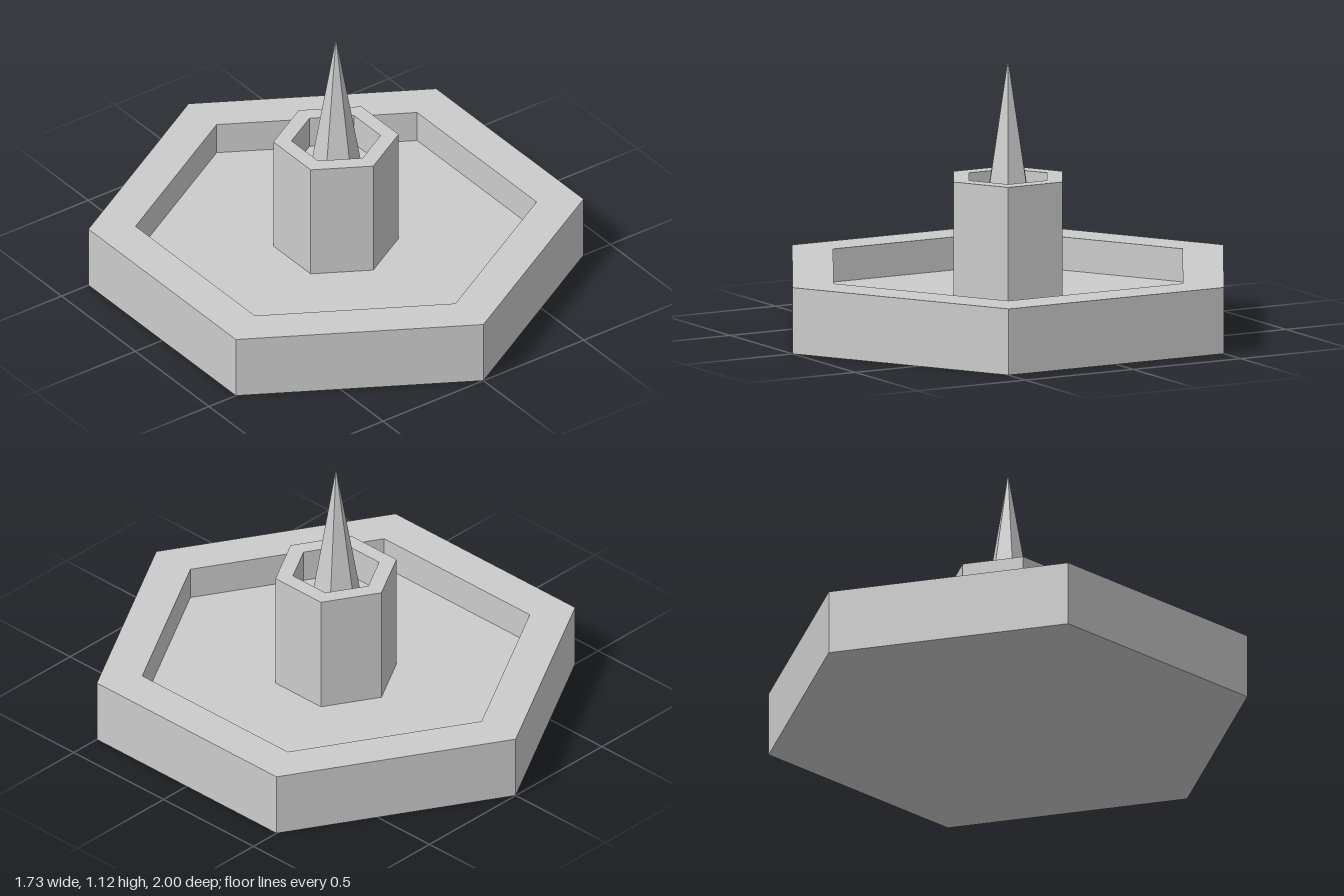
import * as THREE from 'three';

const SIDES = 6;

// Unshared vertices give every facet its own flat normal
function faceted(geometry) {
  const flat = geometry.toNonIndexed();
  flat.computeVertexNormals();
  return flat;
}

// Hexagonal solid of revolution, with a corner facing +z
function hexLathe(profile) {
  const points = profile.map(([r, y]) => new THREE.Vector2(r, y));
  return faceted(new THREE.LatheGeometry(points, SIDES));
}

export function createModel() {
  const group = new THREE.Group();
  group.name = 'fountain';
  const stone = new THREE.MeshStandardMaterial({ color: 0xcccccc });
  stone.name = 'light grey stone';

  const add = (name, geometry, y = 0) => {
    const mesh = new THREE.Mesh(geometry, stone);
    mesh.name = name;
    mesh.position.y = y;
    group.add(mesh);
  };

  const basinFloor = 0.135;
  const bowlFloor = 0.5;
  const tip = 1.115;

  // Wide basin: underside, outer wall, rim, inner wall, floor
  add('basin', hexLathe([[0, 0], [1, 0], [1, 0.27], [0.81, 0.27], [0.81, basinFloor], [0, basinFloor]]));

  // Central pedestal with a hollowed top
  add('pedestal', hexLathe([[0.253, basinFloor], [0.253, 0.635], [0.18, 0.635], [0.18, bowlFloor], [0, bowlFloor]]));

  // Slender spike rising from the pedestal bowl
  add('spike', faceted(new THREE.ConeGeometry(0.104, tip - bowlFloor, SIDES, 1, true)), (tip + bowlFloor) / 2);

  return group;
}
